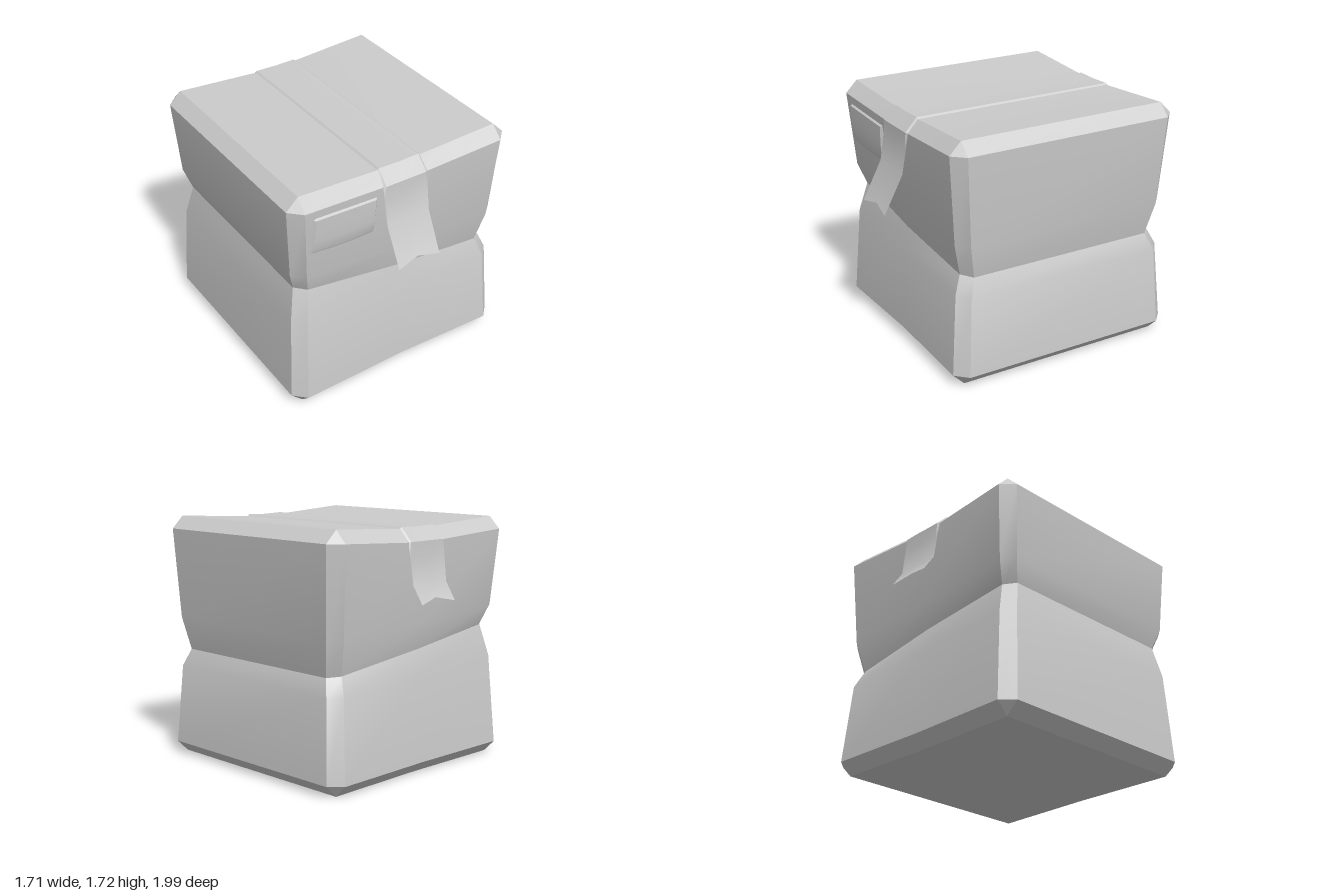
import * as THREE from 'three';
import { toCreasedNormals } from 'three/addons/utils/BufferGeometryUtils.js';

const material = new THREE.MeshStandardMaterial({ color: 0xcccccc, side: THREE.DoubleSide });

// Skin rows of points (bottom row first, columns running towards +x on the front).
function skin(name, rows, { closed = false, caps = [], crease = 0.55 } = {}) {
  const pos = [];
  const tri = (a, b, c) => {
    const area = b.clone().sub(a).cross(c.clone().sub(a)).length();
    if (area > 1e-8) for (const p of [a, b, c]) pos.push(p.x, p.y, p.z);
  };
  const quad = (a, b, c, d) => { tri(a, b, c); tri(a, c, d); };
  const n = rows[0].length;
  for (let i = 0; i < rows.length - 1; i++) {
    for (let j = 0; j < (closed ? n : n - 1); j++) {
      const k = (j + 1) % n;
      quad(rows[i][j], rows[i][k], rows[i + 1][k], rows[i + 1][j]);
    }
  }
  for (const q of caps) quad(...q);
  const geo = new THREE.BufferGeometry();
  geo.setAttribute('position', new THREE.Float32BufferAttribute(pos, 3));
  const mesh = new THREE.Mesh(toCreasedNormals(geo, crease), material);
  mesh.name = name;
  return mesh;
}

// One horizontal section of the carton: a rectangle with cut corners and bent front and back.
function section(yAt, x, xi, zf, zfi, zb, zbi, midF, midB) {
  return [
    [-xi, zf], [0, midF], [xi, zf], [x, zfi], [x, zbi],
    [xi, zb], [0, midB], [-xi, zb], [-x, zbi], [-x, zfi],
  ].map(([px, pz]) => new THREE.Vector3(px, yAt(px), pz));
}

function createCarton() {
  const sag = (y) => (x) => y + 0.043 * Math.min(Math.abs(x) / 0.77, 1);
  const tilt = (y, slope) => (x) => y - slope * x;
  const base = section(() => 0, 0.77, 0.77, 0.735, 0.735, -0.81, -0.81, 0.72, -0.795);
  const skirt = section(() => 0.085, 0.857, 0.772, 0.82, 0.735, -0.895, -0.81, 0.80, -0.88);
  const below = section(tilt(0.69, 0.05), 0.822, 0.74, 0.775, 0.70, -0.85, -0.775, 0.772, -0.845);
  const fold = section(tilt(0.862, 0.12), 0.775, 0.70, 0.72, 0.655, -0.79, -0.725, 0.743, -0.812);
  const above = section(tilt(1.05, 0.06), 0.822, 0.74, 0.775, 0.70, -0.85, -0.775, 0.78, -0.85);
  const shoulder = section(sag(1.592), 0.857, 0.772, 0.82, 0.735, -0.895, -0.81, 0.80, -0.88);
  const lid = section(sag(1.677), 0.77, 0.77, 0.735, 0.735, -0.81, -0.81, 0.72, -0.795);

  const cap = (r) => [[r[0], r[1], r[6], r[7]], [r[1], r[2], r[5], r[6]]];
  const group = new THREE.Group();
  group.name = 'carton';
  // Two halves keep the crushed fold sharp while the panels stay smooth.
  group.add(
    skin('cartonLower', [base, skirt, below, fold], {
      closed: true, caps: cap(base).map((q) => q.reverse()),
    }),
    skin('cartonUpper', [fold, above, shoulder, lid], { closed: true, caps: cap(lid) }),
  );
  return group;
}

// Packing tape over the lid, with loose notched ends.
function createTape() {
  // z, y, half width, edge drop in z and y, centre shift in z and y
  const path = [
    [0.99, 1.053, 0.165, 0, 0, -0.02, 0.034],
    [0.85, 1.32, 0.167, 0, 0, 0, 0],
    [0.818, 1.5, 0.171, 0, 0, 0, 0],
    [0.814, 1.605, 0.175, -0.012, -0.003, 0, 0],
    [0.725, 1.698, 0.17, -0.003, -0.014, 0, -0.005],
    [-0.80, 1.698, 0.17, 0.003, -0.014, 0, -0.005],
    [-0.892, 1.605, 0.175, 0.012, -0.003, 0, 0],
    [-0.896, 1.5, 0.171, 0, 0, 0, 0],
    [-0.92, 1.32, 0.167, 0, 0, 0, 0],
    [-1.0, 1.2, 0.165, 0, 0, 0.03, 0.035],
  ];
  const rows = path.map(([z, y, w, ez, ey, cz, cy]) => [-1, -0.91, 0, 0.91, 1].map((s) => {
    const edge = Math.abs(s) === 1 ? 1 : 0;
    const mid = 1 - Math.abs(s);
    return new THREE.Vector3(s * w, y + edge * ey + mid * cy, z + edge * ez + mid * cz);
  }));
  return skin('tape', rows);
}

// Raised pouch on the front panel, with a thin bevelled rim.
function createLabel() {
  const surface = (x, y) => {
    const t = (1.62 - y) / 0.54;
    return (0.80 + 0.026 * Math.abs(x)) * (1 - t) + (0.78 - 0.007 * Math.abs(x)) * t;
  };
  const lifts = [[1, 0.006], [0.94, 0.012], [0.65, 0.016], [0.35, 0.015], [0.05, 0.012], [0, -0.004]];
  const mix = THREE.MathUtils.lerp;
  const rows = lifts.map(([v, lift]) => [0, 0.035, 0.35, 0.65, 0.965, 1].map((u) => {
    const x = mix(mix(-0.71, -0.215, u), mix(-0.725, -0.23, u), v);
    const y = mix(mix(1.575, 1.545, u), mix(1.305, 1.28, u), v) - 0.06 * v * u * (1 - u);
    const rim = u === 0 || u === 1;
    return new THREE.Vector3(x, y, surface(x, y) + (rim ? -0.004 : lift));
  }));
  return skin('labelPouch', rows, { crease: 0.4 });
}

export function createModel() {
  const model = new THREE.Group();
  model.name = 'crushedBox';
  model.add(createCarton(), createTape(), createLabel());
  return model;
}
